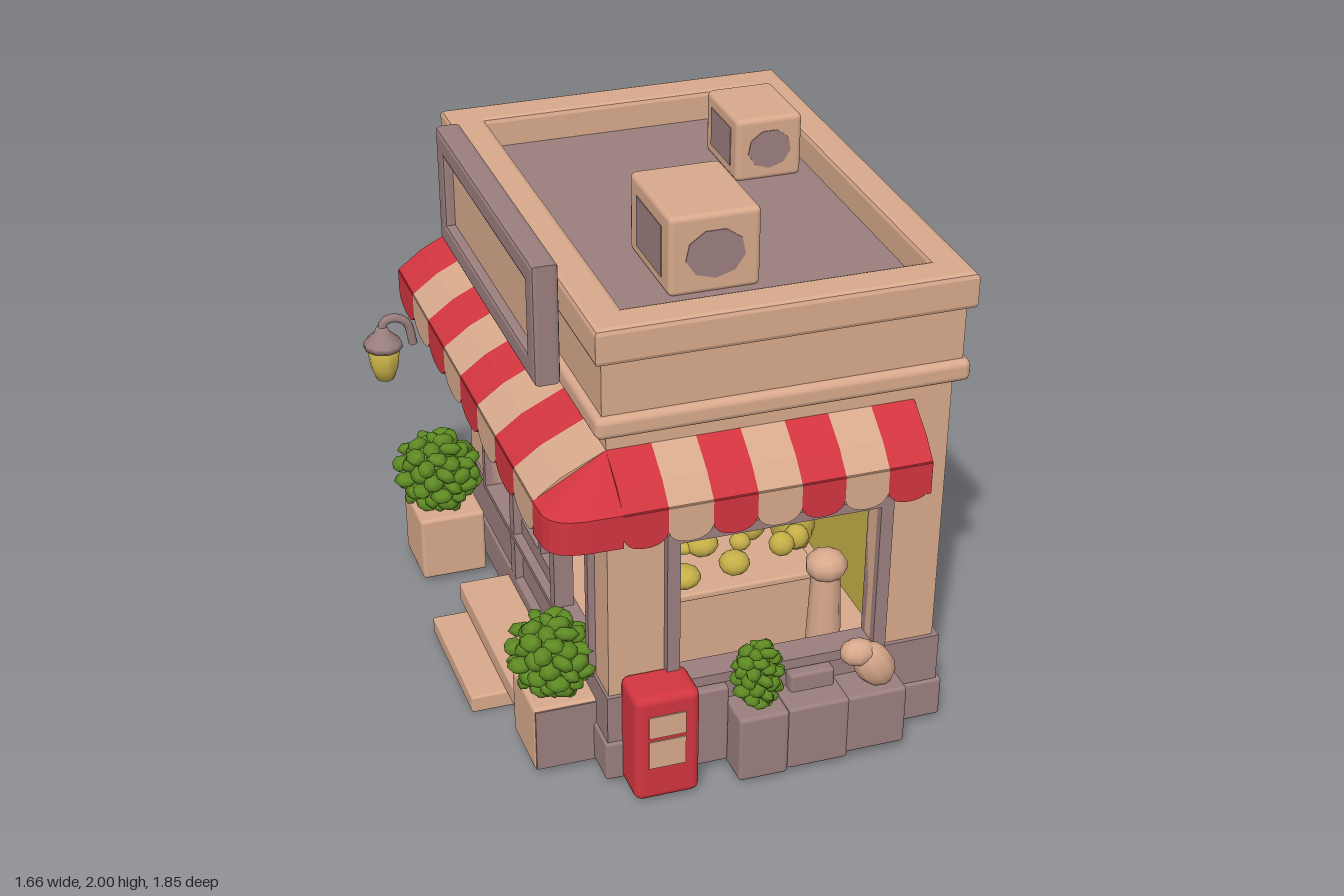
import * as THREE from 'three';
import { mergeGeometries } from 'three/addons/utils/BufferGeometryUtils.js';
import { RoundedBoxGeometry } from 'three/addons/geometries/RoundedBoxGeometry.js';
import { ConvexGeometry } from 'three/addons/geometries/ConvexGeometry.js';

const paint = (name, color, side = THREE.FrontSide) => {
  const m = new THREE.MeshStandardMaterial({ color, side });
  m.name = name;
  return m;
};

export function createModel() {
  const tan = paint('sandstone', 0xd8a98c);
  const mauve = paint('mauve stone', 0x9a7f7d);
  const red = paint('red', 0xd2353f);
  const green = paint('leaf green', 0x5f8c24);
  const yellow = paint('warm yellow', 0xc6b048);
  const root = new THREE.Group();
  root.name = 'cornerShop';

  const add = (name, geo, mat, parent = root) => {
    const m = new THREE.Mesh(geo, mat);
    m.name = name;
    parent.add(m);
    return m;
  };
  // box given by its limits, with optional rounded edges
  const block = (name, mat, x0, x1, y0, y1, z0, z1, r = 0) => {
    const s = [x1 - x0, y1 - y0, z1 - z0];
    const g = r ? new RoundedBoxGeometry(...s, 2, r) : new THREE.BoxGeometry(...s);
    return add(name, g.translate((x0 + x1) / 2, (y0 + y1) / 2, (z0 + z1) / 2), mat);
  };
  const rect = (a, b, c, d, Type = THREE.Shape) =>
    new Type([[a, c], [b, c], [b, d], [a, d]].map(p => new THREE.Vector2(...p)));
  const ring = (outer, inner, depth, bevel = 0) => {
    const s = rect(...outer);
    s.holes.push(rect(...inner, THREE.Path));
    return new THREE.ExtrudeGeometry(s, {
      depth, bevelEnabled: bevel > 0, bevelSize: bevel, bevelThickness: bevel, bevelSegments: 2,
    });
  };
  const toSide = g => g.rotateY(-Math.PI / 2); // shape x runs along z, depth along -x

  // Plinth and floor
  block('lowerPlinth', mauve, -0.43, 0.805, 0.03, 0.19, -0.9, 0.765, 0.012);
  block('plinthBack', mauve, -0.42, 0.785, 0.18, 0.38, -0.885, -0.8);
  block('plinthRight', mauve, 0.7, 0.785, 0.18, 0.38, -0.885, 0.755);
  block('plinthFront', mauve, -0.42, 0.785, 0.18, 0.38, 0.68, 0.755);
  block('plinthSideBack', mauve, -0.42, -0.36, 0.18, 0.38, -0.885, -0.28);
  block('plinthSideFront', mauve, -0.42, -0.36, 0.18, 0.38, 0.2, 0.755);
  block('floor', tan, -0.37, 0.72, 0.185, 0.2, -0.81, 0.69);

  // Walls, with openings to the front and the entrance side
  block('backWall', tan, -0.41, 0.765, 0.37, 1.45, -0.87, -0.8);
  block('rightWall', tan, 0.7, 0.765, 0.37, 1.45, -0.87, 0.74);
  add('frontWall', ring([-0.41, 0.765, 0.37, 1.45], [-0.17, 0.53, 0.4, 0.98], 0.06).translate(0, 0, 0.68), tan);
  add('entranceWall', toSide(ring([-0.87, 0.74, 0.37, 1.45], [-0.6, 0.58, 0.375, 1.05], 0.06)).translate(-0.35, 0, 0), tan);
  block('backLining', yellow, -0.35, 0.7, 0.2, 1.43, -0.8, -0.62);
  block('rightLining', yellow, 0.69, 0.705, 0.2, 1.43, -0.62, 0.68);

  // Window and entrance frames
  add('windowFrame', ring([-0.215, 0.575, 0.37, 1.02], [-0.17, 0.53, 0.41, 0.98], 0.1).translate(0, 0, 0.67), mauve);
  add('entranceFrame', toSide(ring([-0.63, 0.61, 0.37, 1.07], [-0.6, 0.58, 0.39, 1.03], 0.09)).translate(-0.345, 0, 0), mauve);
  for (const z of [-0.28, 0.2]) block('doorPost', mauve, -0.43, -0.36, 0.18, 1.05, z - 0.025, z + 0.025);
  block('transom', mauve, -0.42, -0.37, 0.9, 0.93, -0.6, 0.58);
  block('doorLowerPanel', mauve, -0.4, -0.37, 0.19, 0.45, -0.26, 0.18);
  block('doorStile', mauve, -0.4, -0.37, 0.45, 0.91, -0.055, -0.025);

  // Ledge, frieze, parapet and roof deck
  block('ledge', tan, -0.455, 0.81, 1.43, 1.51, -0.905, 0.785, 0.025);
  block('frieze', tan, -0.43, 0.785, 1.5, 1.715, -0.88, 0.76);
  add('parapet', ring([-0.437, 0.792, -0.767, 0.892], [-0.345, 0.715, -0.675, 0.795], 0.094, 0.018)
    .rotateX(-Math.PI / 2).translate(0, 1.718, 0), tan);
  block('roofDeck', mauve, -0.36, 0.73, 1.71, 1.72, -0.81, 0.69);

  // Roof vents with dark panels on their sides
  const vent = (x, z, w, d, top) => {
    const h = top - 1.715;
    block('roofVent', tan, x - w / 2, x + w / 2, 1.715, top, z - d / 2, z + d / 2, 0.02);
    for (const s of [-1, 1]) {
      const px = x + s * w / 2, pz = z + s * d / 2, y1 = 1.715 + h * 0.8;
      block('ventPanel', mauve, px - 0.003, px + 0.003, 1.76, y1, z - d * 0.31, z + d * 0.31);
      const patch = new THREE.CylinderGeometry(0.5, 0.5, 0.006, 9).rotateX(Math.PI / 2);
      add('ventPatch', patch.scale(w * 0.66, h * 0.62, 1).translate(x, 1.715 + h * 0.5, pz), mauve);
    }
  };
  vent(0.055, 0.275, 0.31, 0.37, 2.0);
  vent(0.53, -0.4, 0.24, 0.29, 1.95);

  // Sign board above the entrance side
  add('signFrame', toSide(ring([-0.615, 0.445, 1.48, 1.885], [-0.565, 0.395, 1.535, 1.83], 0.06, 0.015)).translate(-0.475, 0, 0), mauve);
  block('signPanel', tan, -0.515, -0.47, 1.52, 1.845, -0.58, 0.41);

  // Striped awning: sloped strips, each with a scalloped flap
  const awning = (name, count, width, out, capAtStart) => {
    const g = new THREE.Group();
    g.name = name;
    root.add(g);
    const slope = new THREE.Shape([[0, 1.37], [0, 1.345], [out - 0.02, 1.2], [out, 1.2], [out, 1.225], [out * 0.62, 1.295]].map(p => new THREE.Vector2(...p)));
    const flap = new THREE.Shape();
    flap.moveTo(0, 1.22).lineTo(0, 1.13);
    flap.quadraticCurveTo(width * 0.1, 1.085, width / 2, 1.085);
    flap.quadraticCurveTo(width * 0.9, 1.085, width, 1.13);
    flap.lineTo(width, 1.22);
    for (let i = 0; i < count; i++) {
      const mat = i % 2 ? tan : red;
      const top = toSide(new THREE.ExtrudeGeometry(slope, { depth: width, bevelEnabled: false }));
      add('awningStripe', top.translate((i + 1) * width, 0, 0), mat, g);
      const f = new THREE.ExtrudeGeometry(flap, { depth: 0.018, bevelEnabled: false, curveSegments: 6 });
      add('awningFlap', f.translate(i * width, 0, out - 0.015), mat, g);
    }
    const cap = new THREE.Shape([[0, 1.365], [0, 1.22], [out, 1.1], [out, 1.22], [out * 0.62, 1.29]].map(p => new THREE.Vector2(...p)));
    const c = toSide(new THREE.ExtrudeGeometry(cap, { depth: 0.015, bevelEnabled: false }));
    add('awningEnd', c.translate(capAtStart ? 0.012 : count * width + 0.003, 0, 0), red, g);
    return g;
  };
  awning('frontAwning', 7, 0.149, 0.16, false).position.set(-0.41, 0, 0.74);
  const sideAwning = awning('sideAwning', 8, 0.2025, 0.24, true);
  sideAwning.rotation.y = -Math.PI / 2;
  sideAwning.position.set(-0.41, 0, -0.88);
  const hip = [new THREE.Vector3(-0.41, 1.37, 0.74), new THREE.Vector3(-0.41, 1.25, 0.74)];
  for (let i = 0; i <= 6; i++) {
    const a = i / 6 * Math.PI / 2;
    const c = Math.sqrt(Math.cos(a)), s = Math.sqrt(Math.sin(a));
    for (const y of [1.225, 1.1]) hip.push(new THREE.Vector3(-0.41 - 0.243 * c, y, 0.74 + 0.163 * s));
  }
  add('awningCorner', new ConvexGeometry(hip), red);

  // Bushes: leaves spread over an ellipsoid in a spiral
  const bush = (x, y, z, rx, ry, rz, n, size) => {
    const leaves = [new THREE.SphereGeometry(0.8, 8, 6).scale(rx, ry, rz)];
    for (let i = 0; i < n; i++) {
      const h = 1 - 2 * (i + 0.5) / n, a = i * 2.4, r = Math.sqrt(1 - h * h);
      const leaf = new THREE.SphereGeometry(size, 6, 4).scale(1, 0.75, 0.6);
      leaf.rotateX(i * 1.3).rotateY(-a + i * 0.2);
      const k = 0.86 + 0.1 * Math.sin(i * 5.1);
      leaves.push(leaf.translate(Math.cos(a) * r * rx * k, h * ry * k, Math.sin(a) * r * rz * k));
    }
    add('bush', mergeGeometries(leaves).translate(x, y, z), green);
  };
  const planter = (x, z, w, d, mat) => {
    block('planter', mat, x - w / 2, x + w / 2, 0.02, 0.29, z - d / 2, z + d / 2, 0.015);
  };
  planter(-0.575, -0.7, 0.25, 0.25, tan);
  bush(-0.59, 0.43, -0.7, 0.15, 0.15, 0.15, 64, 0.045);
  planter(-0.52, 0.51, 0.24, 0.25, tan);
  block('planterFacing', mauve, -0.635, -0.41, 0.03, 0.28, 0.63, 0.639);
  bush(-0.53, 0.42, 0.51, 0.14, 0.14, 0.15, 64, 0.045);
  planter(0.09, 0.82, 0.18, 0.15, mauve);
  bush(0.09, 0.42, 0.82, 0.075, 0.135, 0.07, 44, 0.035);

  // Entrance steps
  block('lowerStep', tan, -0.75, -0.4, 0.0, 0.07, -0.27, 0.24, 0.01);
  block('upperStep', tan, -0.62, -0.4, 0.06, 0.14, -0.36, 0.34, 0.01);

  // Stone blocks along the front
  block('stoneBlock', mauve, -0.12, 0.0, 0.04, 0.36, 0.74, 0.79, 0.01);
  block('stoneBlock', mauve, 0.18, 0.4, 0.03, 0.29, 0.74, 0.89, 0.012);
  block('stoneBlock', mauve, 0.39, 0.61, 0.05, 0.29, 0.74, 0.89, 0.012);
  block('stoneBlock', mauve, 0.22, 0.38, 0.17, 0.36, 0.74, 0.8, 0.012);
  const sack = new THREE.SphereGeometry(1, 9, 7);
  add('sack', sack.clone().scale(0.07, 0.1, 0.055).rotateZ(0.5).translate(0.51, 0.37, 0.825), tan);
  add('sackTop', sack.clone().scale(0.065, 0.05, 0.05).translate(0.45, 0.43, 0.82), tan);

  // Red news box
  block('newsBox', red, -0.37, -0.14, 0.02, 0.46, 0.73, 0.895, 0.03);
  block('newsBoxUpperPane', tan, -0.325, -0.195, 0.295, 0.385, 0.892, 0.9);
  block('newsBoxLowerPane', tan, -0.325, -0.195, 0.165, 0.28, 0.892, 0.9);

  // Hanging lantern
  const lathe = pts => new THREE.LatheGeometry(pts.map(p => new THREE.Vector2(...p)), 10).translate(-0.74, 0, -0.83);
  add('lanternGlass', lathe([[0, 0.8], [0.035, 0.8], [0.052, 0.85], [0.062, 0.94], [0, 0.94]]), yellow);
  add('lanternCap', lathe([[0, 0.93], [0.073, 0.935], [0.07, 0.955], [0.03, 0.995], [0.02, 1.02], [0, 1.02]]), mauve);
  const hook = new THREE.CatmullRomCurve3([[-0.74, 1.0], [-0.73, 1.04], [-0.69, 1.05], [-0.645, 1.02], [-0.625, 0.93]]
    .map(([x, y]) => new THREE.Vector3(x, y, -0.83)));
  add('lanternHook', new THREE.TubeGeometry(hook, 14, 0.017, 7), mauve);

  // Shop interior: counter, goods and a stool post
  block('counter', tan, -0.14, 0.42, 0.2, 0.55, 0.2, 0.5, 0.015);
  block('counterTop', tan, -0.16, 0.44, 0.54, 0.57, 0.18, 0.52, 0.01);
  block('shelf', tan, -0.17, -0.1, 0.4, 0.76, 0.1, 0.3, 0.01);
  for (let i = 0; i < 9; i++) {
    const r = 0.04 + 0.012 * Math.sin(i * 2.3);
    const g = new THREE.IcosahedronGeometry(r, 1).scale(1.3, 0.75 + i * 0.08, 1.2);
    add('goods', g.translate(-0.1 + i * 0.062, 0.59 + i * 0.007, 0.35 + 0.1 * Math.sin(i * 1.9)), yellow);
  }
  add('goodsPile', sack.clone().scale(0.08, 0.13, 0.1).translate(0.42, 0.65, 0.3), yellow);
  add('jar', new THREE.CylinderGeometry(0.05, 0.065, 0.42, 10).translate(0.43, 0.42, 0.58), tan);
  add('jarLid', sack.clone().scale(0.075, 0.06, 0.07).translate(0.43, 0.64, 0.58), tan);

  // Slightly crooked ground plan, applied to every part
  const skew = new THREE.Matrix4().set(1, 0, 0.025, 0.0015, 0, 1, 0, 0, 0.031, 0, 1, -0.0056, 0, 0, 0, 1);
  root.updateMatrixWorld(true);
  root.traverse(m => {
    if (!m.isMesh) return;
    const local = m.matrixWorld.clone().invert().multiply(skew).multiply(m.matrixWorld);
    m.geometry.applyMatrix4(local);
  });
  return root;
}
